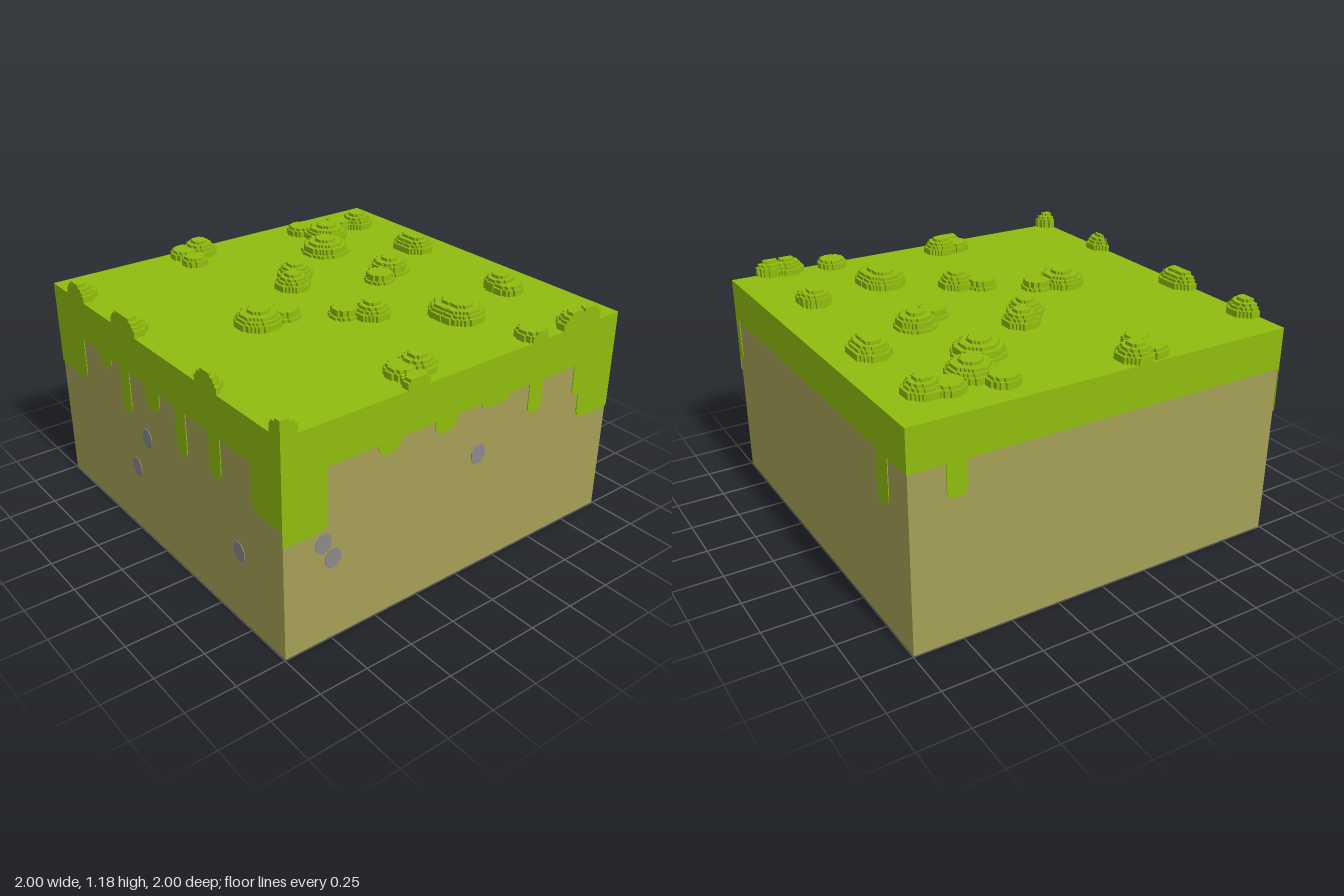
import * as THREE from 'three';
import { mergeGeometries } from 'three/addons/utils/BufferGeometryUtils.js';

const TOP = 1.1, TURF_BOTTOM = 0.89, SKIN = 0.004, CELL = 0.0125, STEP = 0.016;

// Stepped disc outline on a fine grid, clipped to the block's edges
function steppedDisc(cx, cz, r) {
  const n = Math.max(2, Math.round(r / CELL)), right = [], left = [];
  const clip = (v) => Math.min(1, Math.max(-1, v));
  for (let j = -n; j < n; j++) {
    const mid = (j + 0.5) * CELL;
    const half = CELL * Math.max(1, Math.round(Math.sqrt(Math.max(0, (n * CELL) ** 2 - mid * mid)) / CELL));
    const z0 = clip(cz + j * CELL), z1 = clip(cz + (j + 1) * CELL);
    const a = clip(cx - half), b = clip(cx + half);
    if (z1 - z0 < 1e-5 || b - a < 1e-5) continue;
    right.push([b, z0], [b, z1]);
    left.push([a, z0], [a, z1]);
  }
  const points = [...right, ...left.reverse()]
    .filter((p, i, all) => i === 0 || Math.hypot(p[0] - all[i - 1][0], p[1] - all[i - 1][1]) > 1e-6)
    .map(([x, z]) => new THREE.Vector2(x, -z));
  return new THREE.Shape(points);
}

// Mound made of shrinking stepped layers
function moundGeometry(x, z, r) {
  const layers = r > 0.076 ? 5 : 3, parts = [];
  for (let k = 0; k < layers; k++) {
    const radius = r * Math.sqrt(1 - (k / (layers === 5 ? 4.5 : 3.4)) ** 2);
    const g = new THREE.ExtrudeGeometry(steppedDisc(x, z, radius), { depth: STEP, bevelEnabled: false });
    parts.push(g.rotateX(-Math.PI / 2).translate(0, TOP + k * STEP, 0));
  }
  return mergeGeometries(parts);
}

// Drip with rounded lower corners; corners at the block's edge stay square
function dripShape(a, b, bottom) {
  const r = Math.min((b - a) / 2, 0.06, TURF_BOTTOM - bottom), s = new THREE.Shape();
  const ra = a <= -1 ? 0.01 : r, rb = b >= 1 ? 0.01 : r;
  s.moveTo(a, TURF_BOTTOM + 0.005);
  s.lineTo(a, bottom + ra);
  s.quadraticCurveTo(a, bottom, a + ra, bottom);
  s.lineTo(b - rb, bottom);
  s.quadraticCurveTo(b, bottom, b, bottom + rb);
  s.lineTo(b, TURF_BOTTOM + 0.005);
  return s;
}

function pebbleShape(u, y) {
  const points = [];
  for (let i = 0; i < 8; i++) {
    const t = ((i + 0.5) / 8) * Math.PI * 2;
    points.push(new THREE.Vector2(u + 0.045 * Math.cos(t), y + 0.053 * Math.sin(t)));
  }
  return new THREE.Shape(points);
}

// Mound centres and radii: x, z, r
const MOUNDS = [
  [-0.75, -0.79, 0.09], [-0.79, -0.69, 0.075], [-0.70, -0.53, 0.11], [-0.84, -0.455, 0.075],
  [-0.52, -0.385, 0.12], [-0.29, -0.80, 0.09], [-0.235, -0.80, 0.09], [0.44, -0.76, 0.08],
  [0.495, -0.76, 0.075], [1.0, -0.79, 0.08], [0.99, -0.70, 0.09], [0.94, -0.455, 0.075],
  [-0.085, -0.475, 0.095], [-0.01, -0.345, 0.07], [0.53, -0.345, 0.11], [0.585, -0.35, 0.11],
  [-0.315, -0.03, 0.09], [-0.21, 0.06, 0.09], [0.31, -0.03, 0.09], [0.23, 0.075, 0.07],
  [-0.915, 0.18, 0.09], [-0.915, 0.27, 0.075], [-0.79, 0.285, 0.06],
  [0.865, 0.18, 0.09], [0.865, 0.27, 0.075], [0.985, 0.285, 0.06],
  [0.07, 0.31, 0.07], [0.06, 0.455, 0.115],
  [-0.75, 0.985, 0.09], [-0.29, 0.985, 0.09], [-0.235, 0.985, 0.09], [0.46, 1.02, 0.085], [1.0, 0.99, 0.08],
];

// Each side, in its own left-to-right coordinate: drips (from, to, bottom) and pebbles (along, y)
const SIDES = [
  { name: 'front', turn: 0,
    drips: [[-1, -0.71, 0.66], [-0.54, -0.42, 0.82], [-0.33, -0.24, 0.66], [-0.09, 0.04, 0.78],
      [0.18, 0.27, 0.65], [0.46, 0.55, 0.675], [0.78, 1, 0.665]],
    pebbles: [[-0.11, 0.59], [-0.24, 0.37], [0.665, 0.38]] },
  { name: 'right', turn: Math.PI / 2,
    drips: [[-1, -0.77, 0.585], [-0.5, -0.37, 0.83], [-0.18, -0.05, 0.82], [0.1, 0.28, 0.86],
      [0.41, 0.5, 0.73], [0.72, 0.83, 0.72], [0.77, 1, 0.585]],
    pebbles: [[-0.79, 0.52], [-0.74, 0.425], [0.1, 0.63]] },
  { name: 'back', turn: Math.PI, drips: [[-1, -0.95, 0.66], [0.715, 0.825, 0.65]], pebbles: [] },
  { name: 'left', turn: -Math.PI / 2, drips: [[-0.82, -0.72, 0.72]], pebbles: [] },
];

export function createModel() {
  const group = new THREE.Group();
  group.name = 'grassBlock';
  const make = (name, color) => {
    const m = new THREE.MeshStandardMaterial({ color });
    m.name = name;
    return m;
  };
  const grass = make('grass green', 0x8fbc0e);
  const soil = make('soil brown', 0xa5a056);
  const stone = make('stone grey', 0x8b8888);
  const add = (name, geometry, material, parent = group) => {
    const mesh = new THREE.Mesh(geometry, material);
    mesh.name = name;
    parent.add(mesh);
    return mesh;
  };

  // Soil body and turf slab
  const body = 2 - 2 * SKIN;
  add('soil', new THREE.BoxGeometry(body, TURF_BOTTOM, body), soil).position.y = TURF_BOTTOM / 2;
  add('turf', new THREE.BoxGeometry(2, TOP - TURF_BOTTOM, 2), grass).position.y = (TOP + TURF_BOTTOM) / 2;

  // Grass mounds
  const mounds = new THREE.Group();
  mounds.name = 'mounds';
  group.add(mounds);
  for (const [x, z, r] of MOUNDS) add('mound', moundGeometry(x, z, r), grass, mounds);

  // Drips and pebbles on the four sides
  const plate = (shape) =>
    new THREE.ExtrudeGeometry(shape, { depth: SKIN, bevelEnabled: false, curveSegments: 6 }).translate(0, 0, 1 - SKIN);
  for (const { name, turn, drips, pebbles } of SIDES) {
    const side = new THREE.Group();
    side.name = name + 'Side';
    side.rotation.y = turn;
    group.add(side);
    for (const [a, b, bottom] of drips) add('grassDrip', plate(dripShape(a, b, bottom)), grass, side);
    for (const [u, y] of pebbles) add('pebble', plate(pebbleShape(u, y)), stone, side);
  }
  return group;
}
